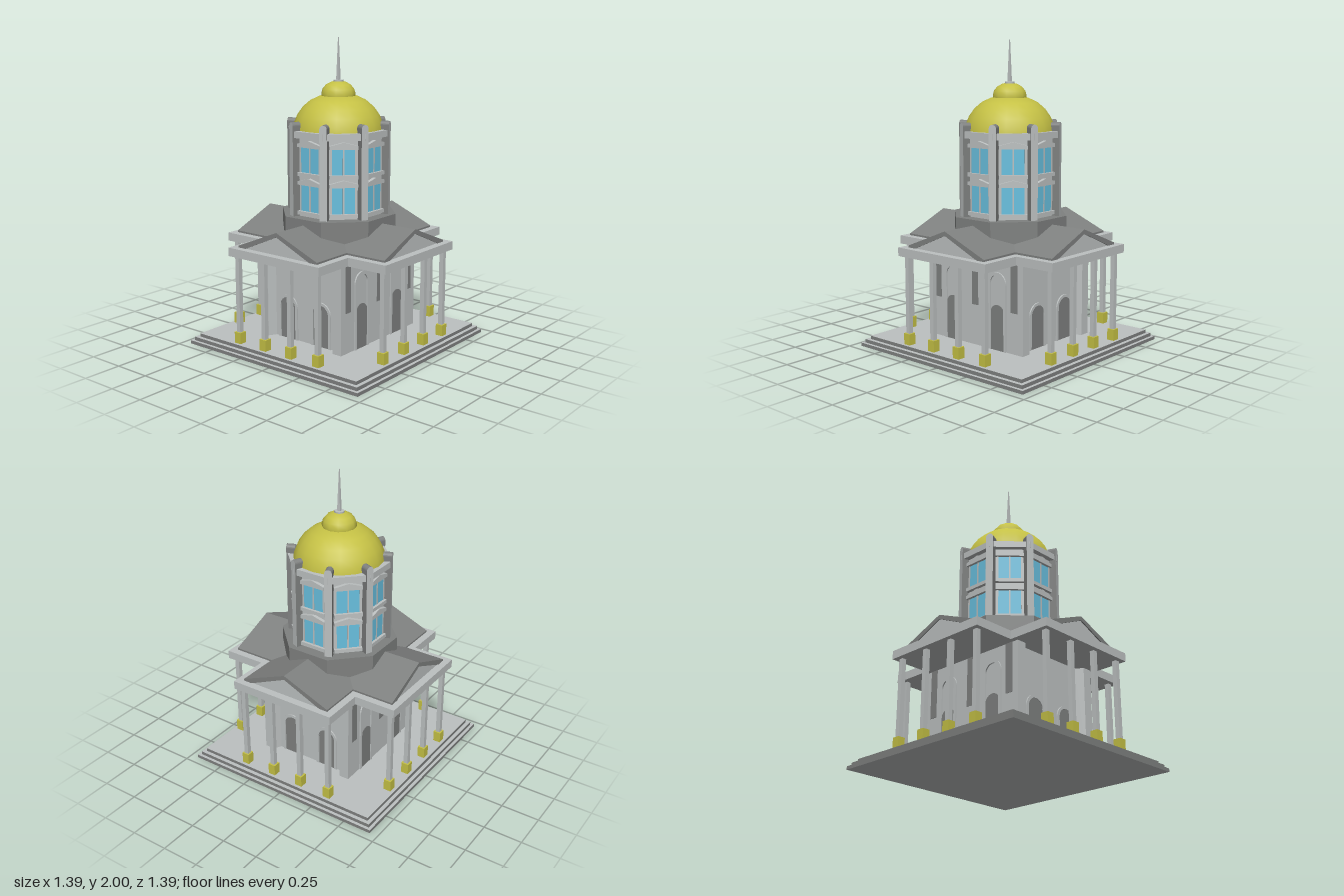
import * as THREE from 'three';

const mat = (name, color) => {
  const m = new THREE.MeshStandardMaterial({ color });
  m.name = name;
  return m;
};

export function createModel() {
  const stone = mat('pale stone', 0xbdc1c1);
  const slate = mat('dark slate', 0x7f8180);
  const gold = mat('gold', 0xc5c145);
  const glass = mat('blue glass', 0x69c0df);

  const root = new THREE.Group();
  root.name = 'domedHall';

  const add = (parent, name, geo, material, x = 0, y = 0, z = 0) => {
    const m = new THREE.Mesh(geo, material);
    m.name = name;
    m.position.set(x, y, z);
    parent.add(m);
    return m;
  };
  const box = (w, h, d) => new THREE.BoxGeometry(w, h, d);
  const poly = (pts) => new THREE.Shape(pts.map(([x, y]) => new THREE.Vector2(x, y)));
  const extrude = (shape, depth) =>
    new THREE.ExtrudeGeometry(shape, { depth, bevelEnabled: false, curveSegments: 10 });
  // plan outline (x, z) raised from y = 0 to the given height
  const raise = (pts, height) => extrude(poly(pts.map(([x, z]) => [x, -z])), height).rotateX(-Math.PI / 2);
  // round-headed outline standing on y = 0
  const arch = (half, top, Type = THREE.Shape) => {
    const s = new Type();
    s.moveTo(-half, 0);
    s.lineTo(half, 0);
    s.lineTo(half, top - half);
    s.absarc(0, top - half, half, 0, Math.PI, false);
    s.closePath();
    return s;
  };
  const octagon = (apothem, height) =>
    new THREE.CylinderGeometry(apothem / Math.cos(Math.PI / 8), apothem / Math.cos(Math.PI / 8), height, 8)
      .toNonIndexed().rotateY(Math.PI / 8);
  const flat = (geo) => { geo.computeVertexNormals(); return geo; };

  // Stepped plinth: dark risers, pale treads and underside
  [[0.695, 0, 0.022], [0.675, 0.022, 0.045], [0.65, 0.045, 0.067]].forEach(([h, y0, y1]) => {
    add(root, 'step', box(2 * h, y1 - y0, 2 * h), [slate, slate, stone, stone, slate, slate], 0, (y0 + y1) / 2, 0);
  });
  const floorY = 0.067;

  // Hall walls, with recessed front and back between corner piers
  const sideWall = 0.336, frontWall = 0.345;
  const quarter = [[sideWall, 0.395], [0.27, 0.395], [0.243, frontWall]];
  const flipX = ([x, z]) => [-x, z];
  const frontEdge = [...quarter, ...quarter.slice().reverse().map(flipX)];
  const backEdge = frontEdge.map(([x, z]) => [-x, -z]);
  add(root, 'hallWalls', raise([...frontEdge, ...backEdge], 0.6), stone, 0, floorY, 0);

  // Arched doorway with a raised surround
  const doorway = (parent, x, z, frameHalf, frameTop, doorHalf, doorTop) => {
    const frame = arch(frameHalf, frameTop - floorY);
    frame.holes.push(arch(frameHalf - 0.018, frameTop - floorY - 0.018, THREE.Path));
    add(parent, 'doorSurround', extrude(frame, 0.009), stone, x, floorY, z);
    add(parent, 'door', extrude(arch(doorHalf, doorTop - floorY), 0.004), slate, x, floorY, z);
  };

  // Gable roof pieces shared by the four porches
  const eave = 0.322, eaveY = 0.70, ridgeY = 0.843;
  const roofShape = poly([[-eave, eaveY], [-eave + 0.06, eaveY], [0, ridgeY - 0.028], [eave - 0.06, eaveY],
    [eave, eaveY], [eave, eaveY + 0.012], [0, ridgeY], [-eave, eaveY + 0.012]]);
  const pedimentShape = poly([[-0.275, eaveY], [0.275, eaveY], [0, ridgeY - 0.022]]);

  for (let i = 0; i < 4; i++) {
    const side = new THREE.Group();
    side.name = ['frontPorch', 'leftPorch', 'backPorch', 'rightPorch'][i];
    side.rotation.y = i * Math.PI / 2;
    root.add(side);

    // Columns on gilded bases
    [-0.325, -0.107, 0.107, 0.325].forEach((x) => {
      add(side, 'column', box(0.03, 0.58, 0.03), stone, x, floorY + 0.29, 0.605);
      add(side, 'columnBase', box(0.05, 0.073, 0.05), gold, x, floorY + 0.0365, 0.605);
    });

    // Pediment and roof
    add(side, 'pediment', extrude(pedimentShape, 0.02), stone, 0, 0, 0.58);
    add(side, 'gableRoof', extrude(roofShape, 0.607), slate);

    // Doors: low ones front and back, tall surrounds and slit windows at the sides
    [-1, 1].forEach((s) => {
      if (i % 2 === 0) doorway(side, s * 0.137, frontWall, 0.08, 0.362, 0.06, 0.345);
      else doorway(side, s * 0.19, sideWall, 0.072, 0.57, 0.058, 0.36);
    });
    if (i % 2 === 1) [-0.325, 0, 0.325].forEach((x) => {
      add(side, 'slitWindow', box(0.052, 0.315, 0.006), slate, x, 0.4875, sideWall);
    });
  }

  // Cross-shaped entablature
  const a = 0.37, b = 0.65;
  add(root, 'entablature', raise([[a, b], [-a, b], [-a, a], [-b, a], [-b, -a], [-a, -a],
    [-a, -b], [a, -b], [a, -a], [b, -a], [b, a], [a, a]], 0.055), stone, 0, 0.645, 0);

  // Octagonal drum
  add(root, 'drumBase', flat(octagon(0.355, 0.18)), slate, 0, 0.79, 0);
  add(root, 'drumWall', flat(octagon(0.28, 0.52)), stone, 0, 1.13, 0);
  add(root, 'drumCornice', flat(octagon(0.315, 0.042)), stone, 0, 1.404, 0);

  const windowHood = poly([[-0.09, 0], [0.09, 0], [0.09, 0.022], [0, 0.045], [-0.09, 0.022]]);
  for (let i = 0; i < 8; i++) {
    const bay = new THREE.Group();
    bay.name = 'drumBay';
    bay.rotation.y = i * Math.PI / 4;
    root.add(bay);
    // Two storeys of glazing with sill, mullions and hood
    [[0.917, 1.09], [1.165, 1.33]].forEach(([y0, y1]) => {
      const h = y1 - y0, mid = (y0 + y1) / 2;
      add(bay, 'glazing', box(0.15, h, 0.008), glass, 0, mid, 0.281);
      [-0.077, 0, 0.077].forEach((x) => add(bay, 'mullion', box(0.01, h, 0.014), stone, x, mid, 0.282));
      add(bay, 'sill', box(0.18, 0.024, 0.03), stone, 0, y0 - 0.012, 0.288);
      add(bay, 'windowHood', extrude(windowHood, 0.03), stone, 0, y1 - 0.004, 0.273);
    });

    // Round-topped buttress on each corner: pale face, dark flanks
    const corner = new THREE.Group();
    corner.name = 'buttress';
    corner.rotation.y = (i + 0.5) * Math.PI / 4;
    root.add(corner);
    add(corner, 'buttressPier', extrude(arch(0.024, 0.605), 0.057), [stone, slate], 0, 0.875, 0.283);
  }

  // Gilded dome and lantern
  const lathe = (pts, n) => new THREE.LatheGeometry(pts.map(([r, y]) => new THREE.Vector2(r, y)), n);
  add(root, 'dome', lathe([[0.292, 1.42], [0.285, 1.46], [0.264, 1.51], [0.229, 1.56], [0.18, 1.602],
    [0.12, 1.63], [0, 1.645]], 20), gold);
  add(root, 'lanternDome', lathe([[0.108, 1.62], [0.111, 1.645], [0.102, 1.675], [0.08, 1.702],
    [0.045, 1.72], [0, 1.726]], 12), gold);

  // Finial
  add(root, 'finialCollar', new THREE.CylinderGeometry(0.032, 0.032, 0.014, 12), stone, 0, 1.725, 0);
  add(root, 'spire', flat(new THREE.CylinderGeometry(0.003, 0.015, 0.27, 4).toNonIndexed().rotateY(Math.PI / 4)),
    stone, 0, 1.865, 0);

  return root;
}
